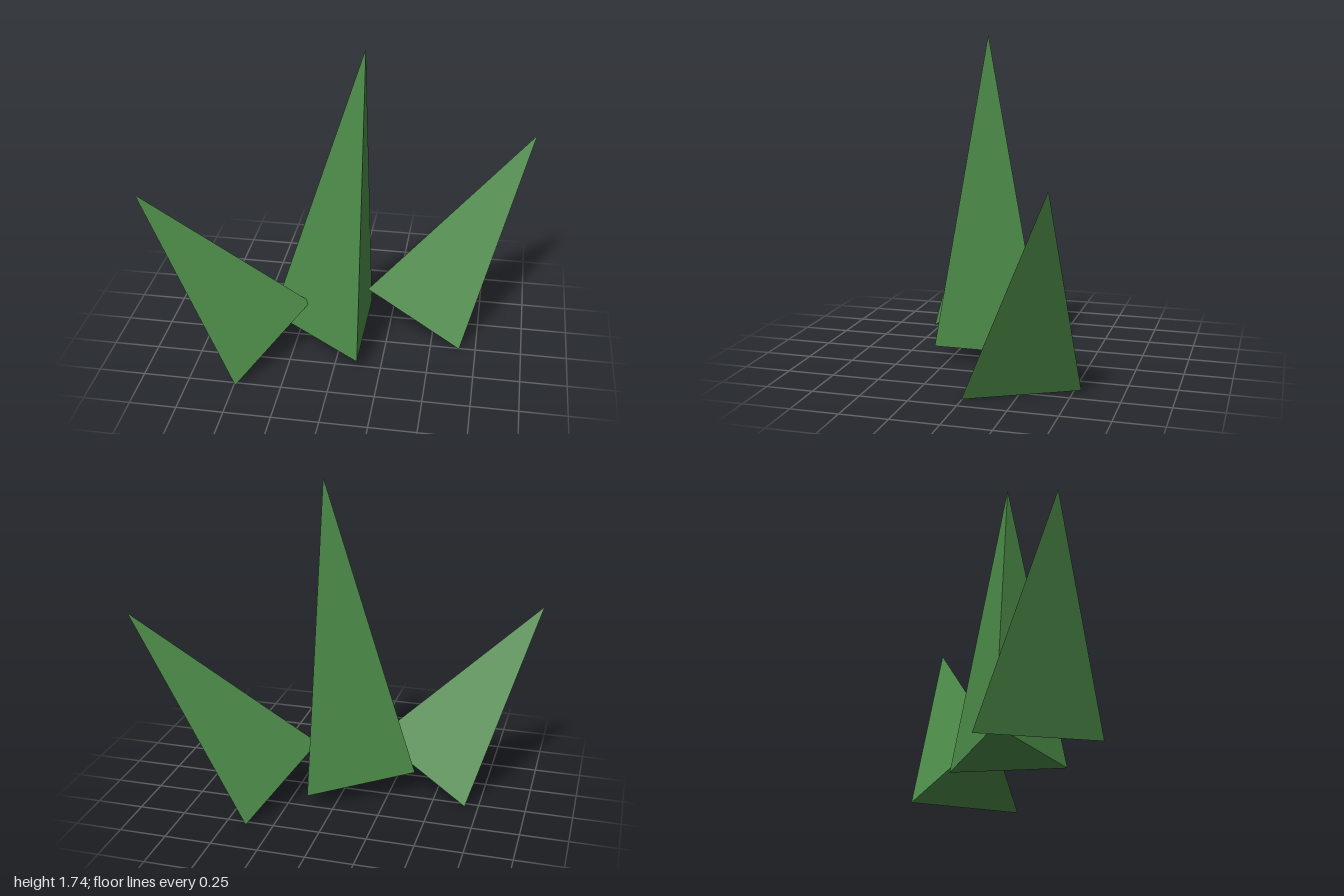
import * as THREE from 'three';
import { ConvexGeometry } from 'three/addons/geometries/ConvexGeometry.js';

const leafGreen = new THREE.MeshStandardMaterial({ color: 0x4c8a48 });
leafGreen.name = 'leaf green';
leafGreen.flatShading = true;

// Three-sided spike: a tip over a triangular base
function makeBlade(name, tip, ...base) {
  const corners = [tip, ...base].map((p) => new THREE.Vector3(...p));
  const blade = new THREE.Mesh(new ConvexGeometry(corners), leafGreen);
  blade.name = name;
  return blade;
}

export function createModel() {
  const grass = new THREE.Group();
  grass.name = 'grassTuft';
  grass.add(
    // Tall, nearly upright blade in the middle
    makeBlade('centreBlade', [0.12, 1.74, 0.02],
      [0.13, 0.08, -0.285], [0.13, 0.08, 0.32], [-0.39, 0.14, 0.02]),
    // Shorter blades leaning outwards
    makeBlade('leftBlade', [1, 1.105, -0.5],
      [0.135, 0.295, -0.07], [0.39, 0.003, -0.535], [0.66, 0, 0.005]),
    makeBlade('rightBlade', [-1, 1.03, 0.385],
      [-0.16, 0.29, 0.1], [-0.68, 0.007, -0.045], [-0.49, 0.007, 0.53]),
  );
  return grass;
}
